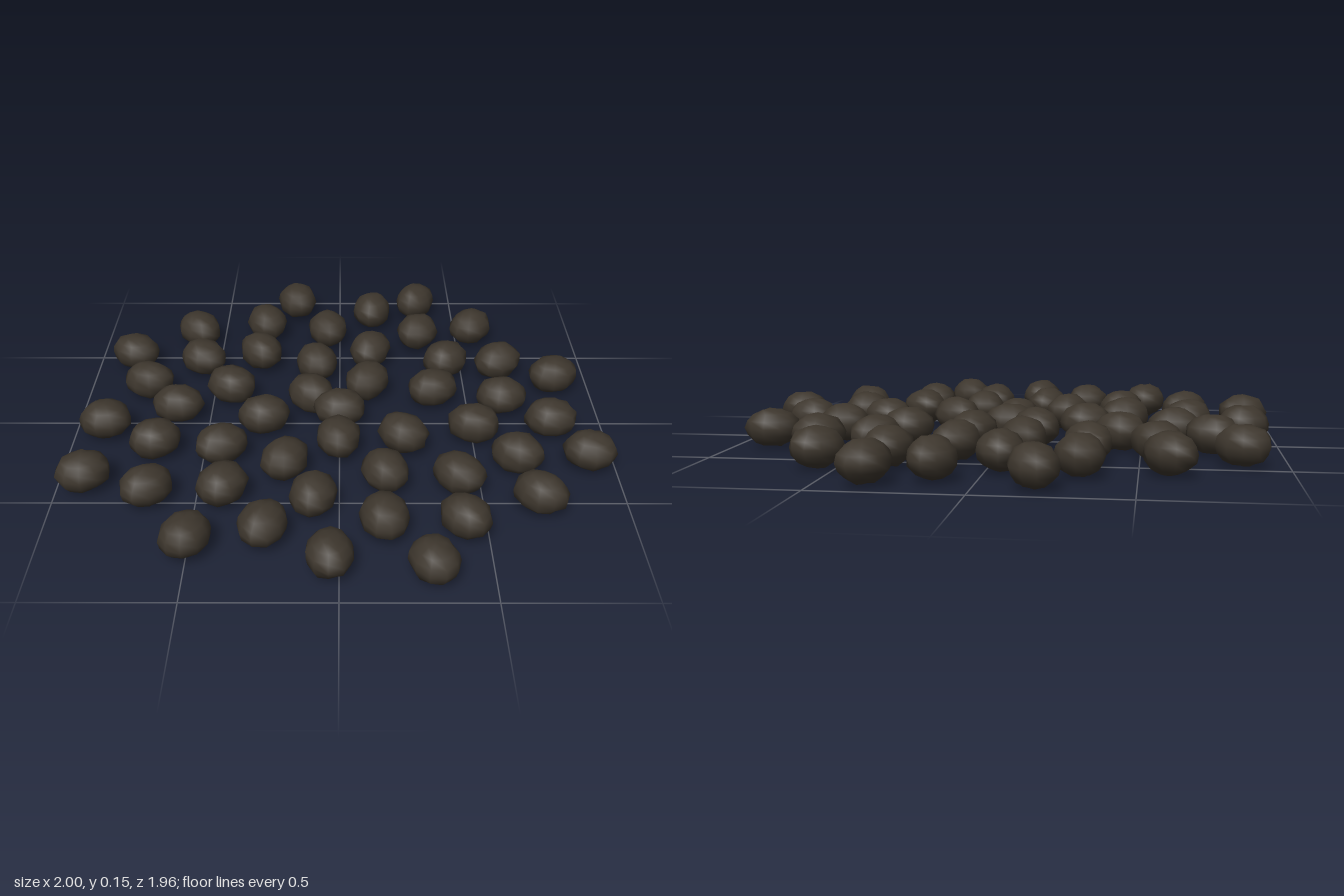
import * as THREE from 'three';
import { mergeVertices } from 'three/addons/utils/BufferGeometryUtils.js';

// Stone centres (x, z), row by row from back to front: a loose sunflower spiral
const CENTRES = [
  -0.19, -0.89, 0.14, -0.8, 0.335, -0.89, -0.315, -0.685, -0.05, -0.63, 0.33, -0.605,
  0.56, -0.65, -0.6, -0.625, -0.845, -0.43, -0.56, -0.385, -0.325, -0.435, -0.095, -0.345,
  0.125, -0.45, 0.43, -0.37, 0.645, -0.36, 0.855, -0.25, -0.755, -0.205, -0.425, -0.17,
  -0.11, -0.105, 0.11, -0.2, 0.365, -0.145, 0.625, -0.09, -0.62, -0.03, 0, 0,
  -0.88, 0.08, -0.285, 0.045, 0.5, 0.105, 0.795, 0.065, -0.675, 0.21, -0.43, 0.24,
  -0.005, 0.195, 0.235, 0.17, -0.195, 0.335, 0.64, 0.295, 0.905, 0.28, -0.9, 0.41,
  -0.665, 0.495, -0.405, 0.485, -0.09, 0.54, 0.16, 0.405, 0.42, 0.42, 0.69, 0.53,
  -0.5, 0.76, -0.25, 0.7, -0.03, 0.85, 0.15, 0.66, 0.42, 0.66, 0.3, 0.88,
];

// Small seeded random generator
function seeded(seed) {
  let s = seed;
  return () => (s = (s * 16807) % 2147483647) / 2147483647;
}

// Slightly lumpy low-poly pebble with smooth normals, longest along x
function pebbleGeometry(random) {
  let geo = new THREE.SphereGeometry(1, 10, 8);
  geo.deleteAttribute('uv');
  geo.deleteAttribute('normal');
  geo = mergeVertices(geo, 1e-4);
  const pos = geo.attributes.position;
  const v = new THREE.Vector3();
  for (let i = 0; i < pos.count; i++) {
    v.fromBufferAttribute(pos, i).multiplyScalar(0.95 + random() * 0.1);
    pos.setXYZ(i, v.x * 0.099, v.y * 0.071, v.z * 0.082);
  }
  geo.computeVertexNormals();
  return geo;
}

export function createModel() {
  const group = new THREE.Group();
  group.name = 'pebbleCluster';
  const stone = new THREE.MeshStandardMaterial({ color: 0x3d362d });
  stone.name = 'darkStone';
  const random = seeded(4711);

  // Every pebble points its long axis away from the middle
  for (let i = 0; i < CENTRES.length; i += 2) {
    const x = CENTRES[i];
    const z = CENTRES[i + 1];
    const pebble = new THREE.Mesh(pebbleGeometry(random), stone);
    pebble.name = `pebble${i / 2 + 1}`;
    pebble.position.set(x, 0.082, z);
    pebble.rotation.y = -Math.atan2(z, x);
    group.add(pebble);
  }
  return group;
}
